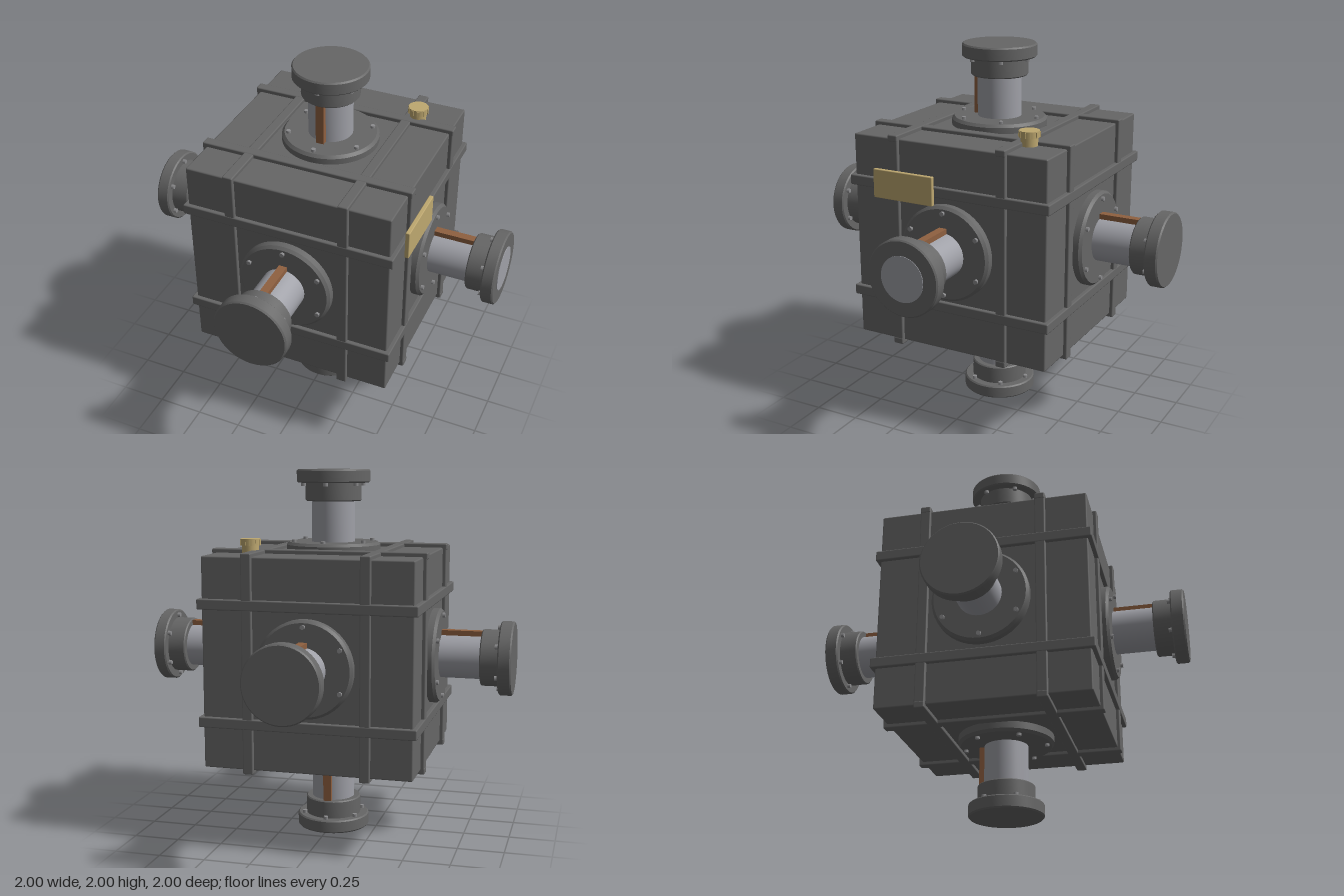
import * as THREE from 'three';
import { toCreasedNormals } from 'three/addons/utils/BufferGeometryUtils.js';
import { RoundedBoxGeometry } from 'three/addons/geometries/RoundedBoxGeometry.js';

const material = (name, color) => {
  const m = new THREE.MeshStandardMaterial({ color });
  m.name = name;
  return m;
};

export function createModel() {
  const model = new THREE.Group();
  model.name = 'pipeJunctionBox';

  const iron = material('dark iron', 0x666666);
  const steel = material('pale steel', 0x9fa0a7);
  const boltSteel = material('bolt steel', 0x8c8c8e);
  const copper = material('copper', 0x8f6040);
  const brass = material('brass', 0xbea870);

  const add = (parent, name, geometry, mat, x = 0, y = 0, z = 0) => {
    const mesh = new THREE.Mesh(geometry, mat);
    mesh.name = name;
    mesh.position.set(x, y, z);
    parent.add(mesh);
    return mesh;
  };

  // Turned part along +z from [radius, z] points
  const turned = (points) => {
    const lathe = new THREE.LatheGeometry(points.map(([r, z]) => new THREE.Vector2(r, z)), 48);
    return toCreasedNormals(lathe.rotateX(Math.PI / 2), 0.5);
  };

  const core = new THREE.Group();
  core.name = 'core';
  core.position.y = 1.003;
  model.add(core);
  add(core, 'body', new RoundedBoxGeometry(1.12, 1.12, 1.12, 1, 0.008), iron);

  const flangeGeo = turned([[0, 0.55], [0.257, 0.55], [0.257, 0.595], [0.243, 0.61], [0, 0.61]]);
  const pipeGeo = turned([[0.118, 0.6], [0.118, 0.85]]);
  const collarGeo = turned([[0, 0.83], [0.147, 0.83], [0.153, 0.836], [0.153, 0.93]]);
  const capGeo = turned([[0, 0.928], [0.193, 0.928], [0.2, 0.935], [0.2, 0.992], [0.193, 1], [0, 1]]);
  const openCapGeo = turned([[0, 0.928], [0.193, 0.928], [0.2, 0.935], [0.2, 0.989], [0.193, 0.996], [0, 0.996]]);
  const stripGeo = new THREE.BoxGeometry(0.044, 0.035, 0.24);
  const boltGeo = new THREE.CylinderGeometry(0.013, 0.013, 0.03, 6).rotateX(Math.PI / 2);
  const strapLong = new RoundedBoxGeometry(1.164, 0.056, 0.036, 1, 0.007);
  const strapTall = new RoundedBoxGeometry(0.056, 1.16, 0.034, 1, 0.007);

  // Six faces: rotation carrying the +z face to each side
  const H = Math.PI / 2;
  const faces = [
    ['front', 0, 0, 0], ['back', 0, Math.PI, 0],
    ['left', 0, H, 0], ['right', 0, -H, 0],
    ['top', -H, 0, Math.PI], ['bottom', H, 0, Math.PI],
  ];
  for (const [side, rx, ry, rz] of faces) {
    // Crossed reinforcing straps
    const straps = new THREE.Group();
    straps.name = side + 'Straps';
    straps.rotation.set(rx, ry, rz);
    core.add(straps);
    for (const s of [-0.312, 0.312]) {
      add(straps, 'longStrap', strapLong, iron, 0, s, 0.564);
      add(straps, 'tallStrap', strapTall, iron, s, 0, 0.563);
    }

    // Flanged pipe stub with collar and end cap
    const port = new THREE.Group();
    port.name = side + 'Port';
    port.position.y = 1;
    port.rotation.set(rx, ry, rz);
    model.add(port);
    const open = side === 'left';
    add(port, 'flange', flangeGeo, iron);
    add(port, 'pipe', pipeGeo, steel);
    add(port, 'collar', collarGeo, iron);
    add(port, 'endCap', open ? openCapGeo : capGeo, iron);
    add(port, 'copperStrip', stripGeo, copper, 0, 0.126, 0.72);
    if (open) {
      const disc = new THREE.CylinderGeometry(0.12, 0.12, 0.006, 48).rotateX(H);
      add(port, 'portDisc', disc, steel, 0, 0, 0.996);
    }
    for (let i = 0; i < 6; i++) {
      const a = H + i * Math.PI / 3;
      const c = Math.cos(a), s = Math.sin(a);
      add(port, 'flangeBolt', boltGeo, boltSteel, c * 0.222, s * 0.222, 0.609);
      add(port, 'capBolt', boltGeo, boltSteel, c * 0.168, s * 0.168, 0.926);
    }
  }

  // Brass filler knob on the top
  const knob = new THREE.Group();
  knob.name = 'fillerKnob';
  knob.position.set(0.357, 0, -0.36);
  model.add(knob);
  add(knob, 'knobNeck', new THREE.CylinderGeometry(0.044, 0.044, 0.06, 24), brass, 0, 1.585, 0);
  const grip = new THREE.CylinderGeometry(0.053, 0.053, 0.034, 24);
  add(knob, 'knobGrip', grip, brass, 0, 1.625, 0);
  for (let i = 0; i < 10; i++) {
    const a = i * Math.PI / 5;
    const rib = add(knob, 'knobRib', new THREE.BoxGeometry(0.01, 0.03, 0.012), brass,
      Math.cos(a) * 0.051, 1.623, Math.sin(a) * 0.051);
    rib.rotation.y = -a;
  }

  // Brass plate on the side
  add(model, 'brassPlate', new RoundedBoxGeometry(0.024, 0.155, 0.355, 1, 0.005), brass, 0.594, 1.323, 0.242);

  return model;
}
